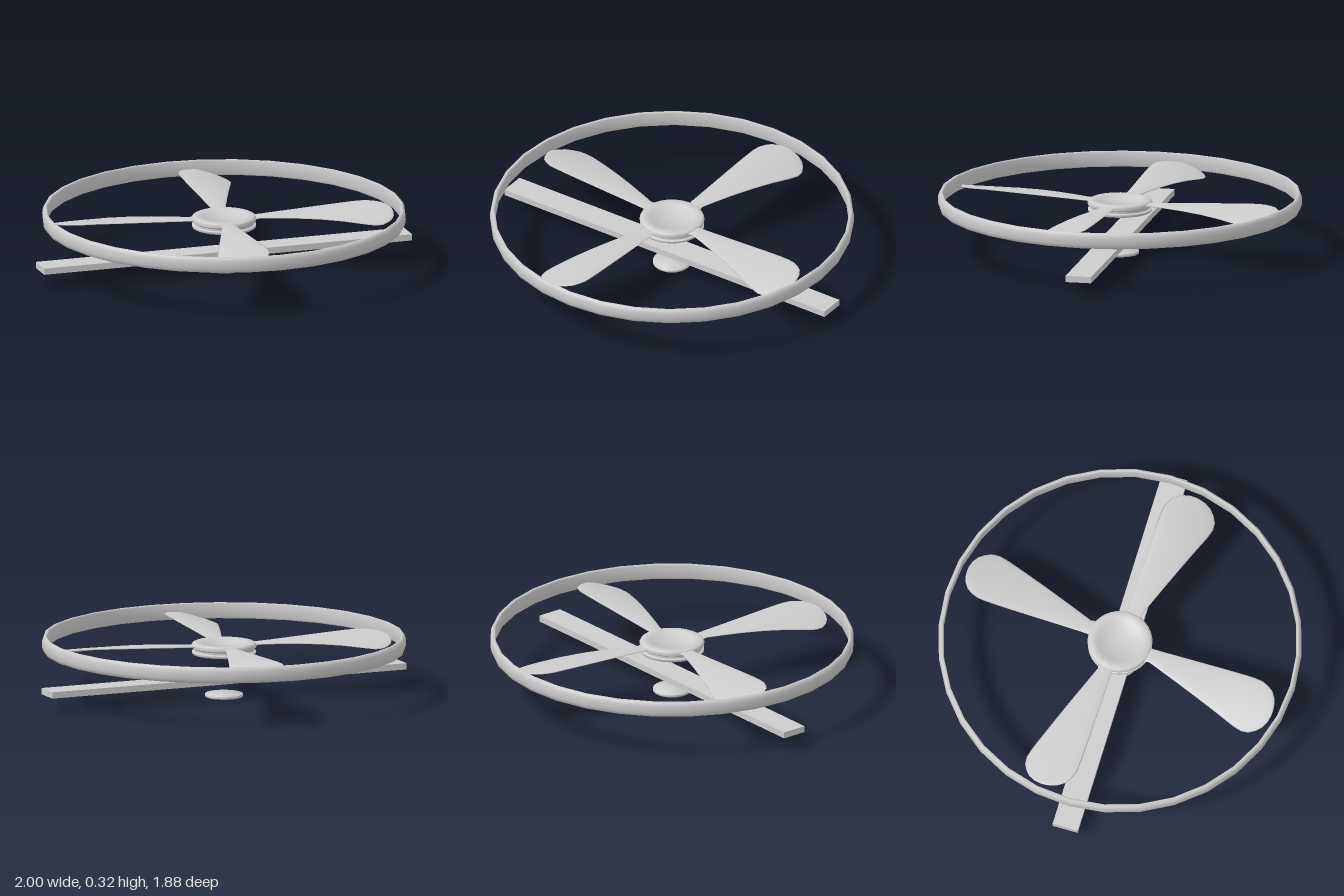
import * as THREE from 'three';
import { toCreasedNormals } from 'three/addons/utils/BufferGeometryUtils.js';

const SIDES = 32;

// Revolved part from [radius, height] points, listed upwards on the outside
function lathe(name, points, material, crease) {
  const geo = new THREE.LatheGeometry(points.map(p => new THREE.Vector2(...p)), SIDES);
  const mesh = new THREE.Mesh(crease ? toCreasedNormals(geo, crease) : geo, material);
  mesh.name = name;
  return mesh;
}

// Pitched paddle blade along +x, lofted through thin oval sections
function bladeGeometry() {
  // [distance from axis, leading edge z, trailing edge z]
  const stations = [
    [0.14, -0.015, 0.075], [0.175, -0.008, 0.068], [0.25, -0.006, 0.098], [0.35, -0.004, 0.138],
    [0.46, -0.002, 0.182], [0.57, 0, 0.226], [0.68, 0.003, 0.27], [0.73, 0.006, 0.285],
    [0.77, 0.012, 0.283], [0.805, 0.028, 0.265], [0.832, 0.048, 0.242], [0.852, 0.08, 0.21],
    [0.862, 0.115, 0.175], [0.864, 0.145, 0.145],
  ];
  const N = 20, pos = [], index = [];
  stations.forEach(([r, z0, z1], i) => {
    const t = Math.min((r - 0.14) / 0.58, 1);
    const half = (z1 - z0) / 2;
    const thick = Math.min(0.007, half * 0.25);
    for (let j = 0; j < N; j++) {
      const a = (j / N) * Math.PI * 2;
      const z = (z0 + z1) / 2 + half * Math.cos(a);
      const pitch = t * (0.03 - 0.1 * z - 0.4 * z * z);
      pos.push(r, 0.27 + pitch + thick * Math.sin(a), z);
      if (i < stations.length - 1) {
        const p = i * N + j, q = i * N + (j + 1) % N;
        index.push(p, p + N, q, q, p + N, q + N);
      }
    }
  });
  const geo = new THREE.BufferGeometry();
  geo.setAttribute('position', new THREE.Float32BufferAttribute(pos, 3));
  geo.setIndex(index);
  geo.computeVertexNormals();
  return geo;
}

export function createModel() {
  const group = new THREE.Group();
  group.name = 'propeller';
  const grey = new THREE.MeshStandardMaterial({ color: 0xcccccc });
  grey.name = 'light grey';

  // Outer guard ring with a bulged outside
  group.add(lathe('guardRing', [
    [0.918, 0.239], [0.93, 0.243], [0.936, 0.26], [0.938, 0.281], [0.936, 0.302], [0.93, 0.319],
    [0.918, 0.323], [0.912, 0.315], [0.91, 0.281], [0.912, 0.247], [0.918, 0.239],
  ], grey));

  // Hub: base disc, waist and rounded rim around a shallow recess
  group.add(lathe('hub', [
    [0, 0.225], [0.162, 0.225], [0.166, 0.229], [0.166, 0.238], [0.155, 0.243], [0.155, 0.253],
    [0.166, 0.26], [0.167, 0.273], [0.163, 0.281], [0.155, 0.285],
    [0.12, 0.285], [0.112, 0.277], [0, 0.277],
  ], grey, 0.8));

  // Four blades
  const geo = bladeGeometry();
  for (let i = 0; i < 4; i++) {
    const blade = new THREE.Mesh(geo, grey);
    blade.name = 'blade' + (i + 1);
    blade.rotation.y = i * Math.PI / 2;
    group.add(blade);
  }

  // Flat bar below the rotor
  const bar = new THREE.Mesh(new THREE.BoxGeometry(2, 0.033, 0.135), grey);
  bar.name = 'bar';
  bar.position.y = 0.093;
  group.add(bar);

  // Small cap at the bottom
  group.add(lathe('bottomCap', [
    [0, 0], [0.095, 0], [0.099, 0.004], [0.099, 0.014], [0.095, 0.018], [0, 0.018],
  ], grey, 0.8));

  return group;
}
